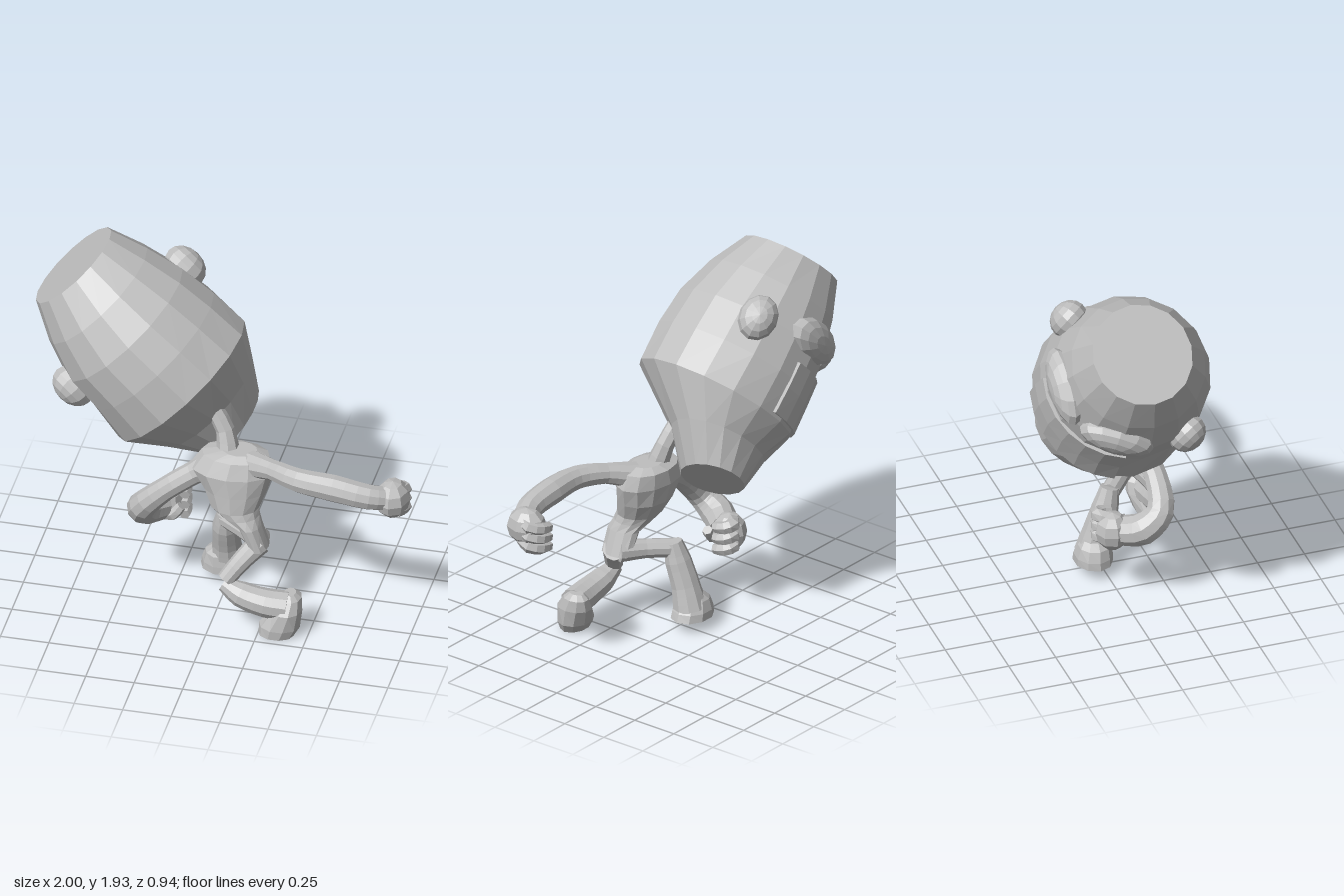
import * as THREE from 'three';

const grey = new THREE.MeshStandardMaterial({ color: 0xbebebe });
grey.name = 'clay grey';
const V = (x, y, z) => new THREE.Vector3(x, y, z);

function facetedMesh(geometry, name) {
  const g = geometry.index ? geometry.toNonIndexed() : geometry;
  g.computeVertexNormals();
  const mesh = new THREE.Mesh(g, grey);
  mesh.name = name;
  return mesh;
}

// Closed skin over a row of rings, turned outward by its signed volume
function loft(rings, name) {
  const n = rings[0].length;
  const tris = [];
  for (let i = 0; i < rings.length - 1; i++) {
    for (let j = 0; j < n; j++) {
      const k = (j + 1) % n;
      const [a, b, c, d] = [rings[i][j], rings[i][k], rings[i + 1][k], rings[i + 1][j]];
      tris.push([a, b, c], [a, c, d]);
    }
  }
  for (const [ring, flip] of [[rings[0], true], [rings[rings.length - 1], false]]) {
    const mid = ring.reduce((s, p) => s.add(p), V(0, 0, 0)).divideScalar(n);
    ring.forEach((p, j) => {
      const q = ring[(j + 1) % n];
      tris.push(flip ? [mid, q, p] : [mid, p, q]);
    });
  }
  const volume = tris.reduce((s, [a, b, c]) => s + a.dot(b.clone().cross(c)), 0);
  if (volume < 0) tris.forEach((t) => t.reverse());
  return facetedMesh(new THREE.BufferGeometry().setFromPoints(tris.flat()), name);
}

// Bent limb: each point is [x, y, z, radius]
function limb(points, name, sides = 10, steps = 3) {
  const curve = new THREE.CatmullRomCurve3(points.map((p) => V(p[0], p[1], p[2])), false, 'centripetal');
  const count = (points.length - 1) * steps;
  const rings = [];
  let normal = V(0.3, 0.2, 0.9);
  for (let i = 0; i <= count; i++) {
    const f = i / steps;
    const k = Math.min(Math.floor(f), points.length - 2);
    const r = THREE.MathUtils.lerp(points[k][3], points[k + 1][3], f - k);
    const c = curve.getPoint(i / count);
    const tangent = curve.getTangent(i / count);
    normal = normal.clone().addScaledVector(tangent, -normal.dot(tangent)).normalize();
    const binormal = tangent.clone().cross(normal);
    rings.push(Array.from({ length: sides }, (_, j) => {
      const a = (j / sides) * Math.PI * 2;
      return c.clone().addScaledVector(normal, r * Math.cos(a)).addScaledVector(binormal, r * Math.sin(a));
    }));
  }
  return loft(rings, name);
}

// Horizontal elliptical stack: each level is [y, x, z, rx, rz]
function stack(levels, name, sides = 12) {
  return loft(levels.map(([y, x, z, rx, rz]) => Array.from({ length: sides }, (_, j) => {
    const a = (j / sides) * Math.PI * 2;
    return V(x + rx * Math.cos(a), y, z + rz * Math.sin(a));
  })), name);
}

// Head sections along its leaning axis: t, centre z, radius across, radius deep, tilt, sideways shift
const axisStart = V(-0.03, 0.855, 0), axisEnd = V(-0.815, 1.745, 0);
const across = V(1, 1, 0).normalize();
const sections = [
  [0, -0.18, 0.195, 0.175, -0.35, 0],
  [0.15, -0.125, 0.32, 0.24, -0.25, 0.012],
  [0.32, -0.02, 0.44, 0.42, 0, 0.046],
  [0.5, -0.02, 0.415, 0.43, 0, 0.045],
  [0.67, -0.02, 0.4, 0.41, 0, 0.022],
  [0.84, -0.035, 0.34, 0.35, 0, 0.01],
  [1, -0.06, 0.262, 0.26, 0, 0],
];

// Point on the head; angle 0 is straight back, growing toward the low side
function headPoint(t, angle, out = 0) {
  let i = 0;
  while (i < sections.length - 2 && t > sections[i + 1][0]) i++;
  const [p, q] = [sections[i], sections[i + 1]];
  const f = (t - p[0]) / (q[0] - p[0]);
  const [z, a, b, tilt, shift] = [1, 2, 3, 4, 5].map((k) => THREE.MathUtils.lerp(p[k], q[k], f));
  const w = -(b + out) * Math.cos(angle);
  return axisStart.clone().lerp(axisEnd, t)
    .addScaledVector(across, shift - (a + out) * Math.sin(angle))
    .add(V(0, w * tilt, z + w));
}

// Oval bump lying on the head, sized along the axis, outward and around
function headBump(t, degrees, sink, size, name) {
  const angle = THREE.MathUtils.degToRad(degrees);
  const up = V(-1, 1, 0).normalize();
  const out = across.clone().multiplyScalar(-Math.sin(angle)).add(V(0, 0, -Math.cos(angle)));
  const side = up.clone().cross(out);
  const m = new THREE.Matrix4().makeBasis(up, out, side).setPosition(headPoint(t, angle, -sink));
  const g = new THREE.SphereGeometry(1, 12, 8);
  g.scale(...size).applyMatrix4(m);
  return facetedMesh(g, name);
}

// Raised panel with sloping borders that meet the head
function facePanel() {
  const nu = 8, nv = 4, tris = [];
  const at = (i, j) => {
    const edge = i === 0 || j === 0 || i === nu || j === nv;
    const u = (THREE.MathUtils.clamp(i, 1, nu - 1) - 1) / (nu - 2);
    const v = (THREE.MathUtils.clamp(j, 1, nv - 1) - 1) / (nv - 2);
    return headPoint(0.335 + 0.24 * v, THREE.MathUtils.degToRad(-10 + 86 * u), edge ? -0.02 : 0.013);
  };
  for (let i = 0; i < nu; i++) {
    for (let j = 0; j < nv; j++) {
      const [a, b, c, d] = [at(i, j), at(i + 1, j), at(i + 1, j + 1), at(i, j + 1)];
      tris.push(a, c, b, a, d, c);
    }
  }
  // Face the skin away from the head centre
  const k = 6 * (4 * nv + 1);
  const n = tris[k + 1].clone().sub(tris[k]).cross(tris[k + 2].clone().sub(tris[k]));
  if (n.dot(V(-0.46, -0.28, -0.84)) < 0) tris.reverse();
  return facetedMesh(new THREE.BufferGeometry().setFromPoints(tris), 'facePanel');
}

function palm(x, y, z, sx, sy, sz, name) {
  const g = new THREE.SphereGeometry(1, 8, 6);
  g.scale(sx, sy, sz).translate(x, y, z);
  return facetedMesh(g, name);
}

export function createModel() {
  const model = new THREE.Group();
  model.name = 'bigHeadedFigure';

  // Head
  const head = new THREE.Group();
  head.name = 'head';
  const sides = 16;
  head.add(loft(sections.map((s) => Array.from({ length: sides },
    (_, j) => headPoint(s[0], (j / sides) * Math.PI * 2))), 'skull'));
  head.add(facePanel());
  head.add(headBump(0.65, -54, -0.01, [0.12, 0.09, 0.1], 'leftEar'));
  head.add(headBump(0.635, 121, -0.005, [0.12, 0.09, 0.1], 'rightEar'));
  head.add(headBump(0.7, 2, 0.03, [0.105, 0.08, 0.205], 'leftFaceBump'));
  head.add(headBump(0.7, 63, 0.03, [0.105, 0.08, 0.195], 'rightFaceBump'));
  model.add(head);

  // Neck and torso
  model.add(limb([[-0.06, 1.085, 0.07, 0.045], [0.005, 0.98, 0.095, 0.048], [0.03, 0.86, 0.13, 0.06]], 'neck', 8, 2));
  model.add(stack([
    [0.905, 0.09, 0.14, 0.09, 0.07], [0.88, 0.07, 0.14, 0.175, 0.115], [0.8, 0.055, 0.155, 0.215, 0.135],
    [0.7, 0.075, 0.17, 0.165, 0.13], [0.61, 0.08, 0.2, 0.125, 0.11], [0.575, 0.11, 0.215, 0.1, 0.1],
    [0.53, 0.165, 0.235, 0.06, 0.09], [0.41, 0.215, 0.24, 0.05, 0.088],
  ], 'torso'));

  // Left arm, stretched out
  model.add(limb([[0.16, 0.845, 0.17, 0.07], [0.29, 0.88, 0.25, 0.053], [0.44, 0.89, 0.325, 0.062],
    [0.62, 0.88, 0.338, 0.07], [0.8, 0.853, 0.335, 0.065], [0.9, 0.83, 0.29, 0.06]], 'leftArm'));
  model.add(palm(0.91, 0.82, 0.265, 0.09, 0.1, 0.11, 'leftPalm'));
  for (let i = 0; i < 3; i++) {
    const y = 0.86 - i * 0.052;
    model.add(limb([[0.93, y, 0.28, 0.036], [0.96, y - 0.015, 0.21, 0.036], [0.91, y - 0.03, 0.17, 0.034],
      [0.85, y - 0.04, 0.17, 0.028]], 'leftFinger', 6, 2));
  }
  model.add(limb([[0.92, 0.78, 0.3, 0.036], [0.9, 0.74, 0.26, 0.032], [0.86, 0.745, 0.21, 0.026]], 'leftThumb', 6, 2));

  // Right arm, bent back
  model.add(limb([[-0.05, 0.8, 0.15, 0.08], [-0.14, 0.745, 0.17, 0.06], [-0.28, 0.645, 0.2, 0.06],
    [-0.4, 0.515, 0.18, 0.072], [-0.41, 0.44, 0.09, 0.086], [-0.35, 0.41, 0, 0.078]], 'rightArm'));
  model.add(palm(-0.33, 0.41, -0.05, 0.09, 0.105, 0.09, 'rightPalm'));
  for (let i = 0; i < 3; i++) {
    const y = 0.475 - i * 0.06;
    model.add(limb([[-0.33, y, -0.06, 0.036], [-0.28, y + 0.01, -0.115, 0.036], [-0.24, y, -0.09, 0.034],
      [-0.235, y - 0.01, -0.03, 0.028]], 'rightFinger', 6, 2));
  }
  model.add(limb([[-0.34, 0.37, 0, 0.036], [-0.28, 0.38, 0.03, 0.032], [-0.24, 0.43, 0.02, 0.026]], 'rightThumb', 6, 2));

  // Left leg, kneeling forward
  model.add(limb([[0.22, 0.43, 0.25, 0.06], [0.14, 0.35, 0.32, 0.05], [0.07, 0.26, 0.37, 0.045]], 'leftThigh'));
  model.add(limb([[0.06, 0.24, 0.37, 0.04], [0.15, 0.195, 0.38, 0.066], [0.28, 0.165, 0.385, 0.075],
    [0.39, 0.155, 0.375, 0.078]], 'leftShin'));
  model.add(stack([[0, 0.34, 0.405, 0.09, 0.065], [0.05, 0.355, 0.39, 0.105, 0.085],
    [0.14, 0.39, 0.37, 0.078, 0.095], [0.2, 0.405, 0.35, 0.055, 0.07], [0.225, 0.4, 0.35, 0.03, 0.04]], 'leftFoot', 10));

  // Right leg, standing behind
  model.add(limb([[0.22, 0.43, 0.22, 0.06], [0.11, 0.425, 0.14, 0.05], [0, 0.415, 0.05, 0.05]], 'rightThigh'));
  model.add(limb([[0, 0.45, 0.05, 0.048], [-0.01, 0.35, 0.025, 0.068], [-0.015, 0.22, -0.02, 0.074],
    [-0.015, 0.1, -0.05, 0.09]], 'rightShin'));
  model.add(stack([[0.06, -0.03, -0.05, 0.125, 0.1], [0.1, -0.035, -0.05, 0.115, 0.098],
    [0.155, -0.045, -0.045, 0.085, 0.085], [0.19, -0.03, -0.04, 0.055, 0.06]], 'rightFoot', 10));

  return model;
}
